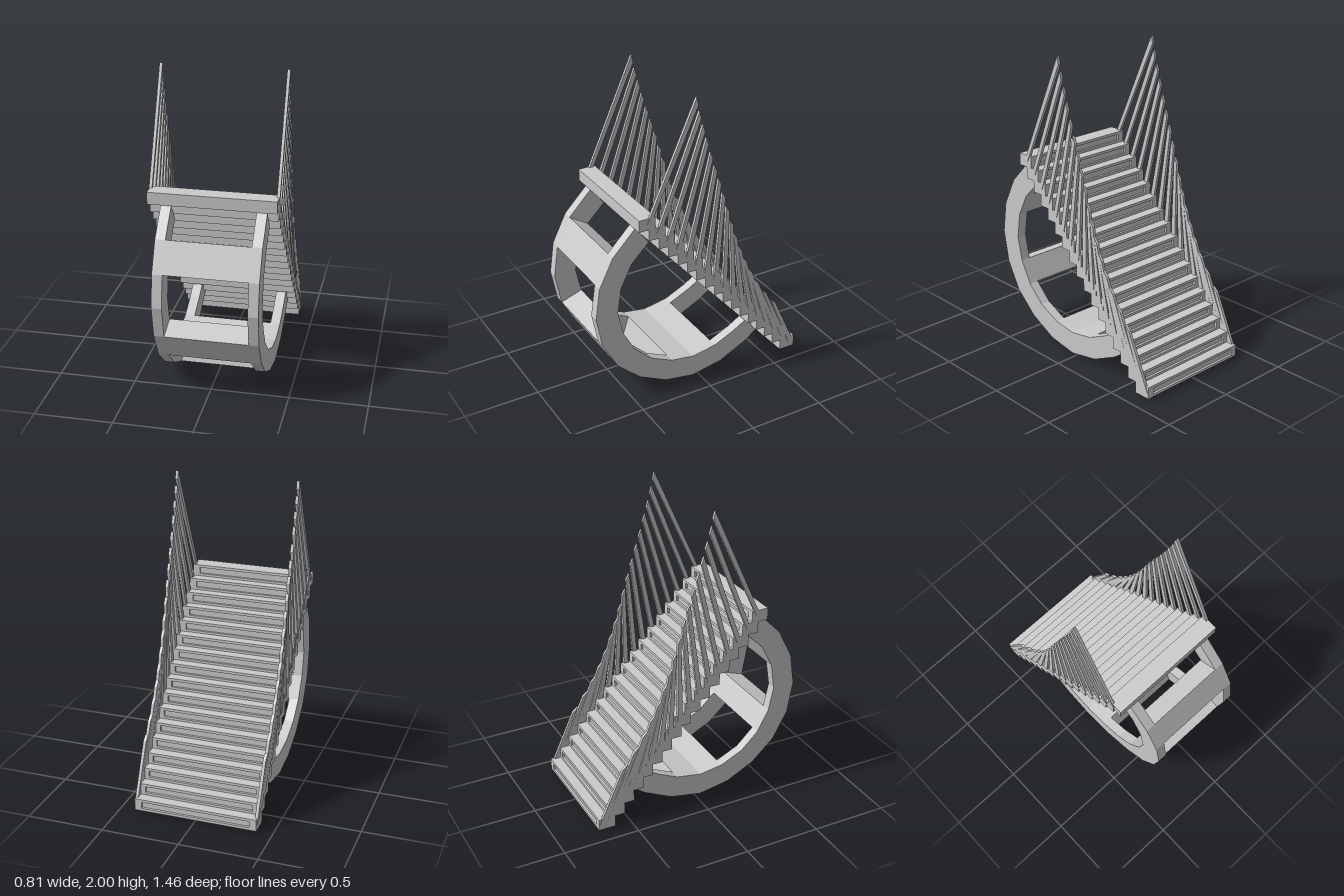
import * as THREE from 'three';

const material = new THREE.MeshStandardMaterial({ color: 0xcccccc, flatShading: true });

// Extrude a side outline of [z, y] points from x0 to x1
function sidePart(name, points, x0, x1) {
  const shape = new THREE.Shape(points.map(([z, y]) => new THREE.Vector2(z, y)));
  const geometry = new THREE.ExtrudeGeometry(shape, { depth: x1 - x0, bevelEnabled: false });
  geometry.rotateY(-Math.PI / 2).translate(x1, 0, 0);
  const mesh = new THREE.Mesh(geometry, material);
  mesh.name = name;
  return mesh;
}

// One step: solid body with a shallow framed recess on its riser
const STEP = { count: 17, width: 0.8, height: 0.078, depth: 0.112, run: 0.0669, rise: 0.0756 };

function makeStep() {
  const { width: w, height: h, depth: d } = STEP;
  const rim = 0.018, recess = 0.015;
  const step = new THREE.Group();
  step.name = 'step';
  const body = new THREE.Mesh(new THREE.BoxGeometry(w, h, d - recess), material);
  body.name = 'stepBody';
  body.position.set(0, h / 2, (d + recess) / 2);
  const rect = (C, x, y0, y1) => new C([[-x, y0], [x, y0], [x, y1], [-x, y1]].map(p => new THREE.Vector2(...p)));
  const outline = rect(THREE.Shape, w / 2, 0, h);
  outline.holes.push(rect(THREE.Path, w / 2 - 0.045, rim, h - rim));
  const frame = new THREE.Mesh(new THREE.ExtrudeGeometry(outline, { depth: recess, bevelEnabled: false }), material);
  frame.name = 'riserFrame';
  step.add(body, frame);
  return step;
}

function makeStairs() {
  const stairs = new THREE.Group();
  stairs.name = 'stairs';
  for (let i = 0; i < STEP.count; i++) {
    const step = makeStep();
    step.position.set(0, 0.01 + i * STEP.rise, -0.725 + i * STEP.run);
    stairs.add(step);
  }
  return stairs;
}

// Fanned bars: each leans a little differently, tops following a curve
function makeBars() {
  const bars = new THREE.Group();
  bars.name = 'railingBars';
  const tops = [
    [0.07, 2], [0.05, 1.91], [0.025, 1.82], [0, 1.73], [-0.03, 1.63], [-0.06, 1.535],
    [-0.09, 1.44], [-0.12, 1.34], [-0.15, 1.235], [-0.18, 1.13], [-0.21, 1.03], [-0.245, 0.93],
    [-0.285, 0.83], [-0.33, 0.735], [-0.38, 0.64], [-0.445, 0.54], [-0.52, 0.44],
  ];
  const lerp = THREE.MathUtils.lerp;
  tops.forEach(([tz, ty], i) => {
    const t = i / (tops.length - 1);
    const bz = lerp(0.39, -0.70, t), by = lerp(1.26, 0.05, t), half = lerp(0.014, 0.02, t);
    const outline = [
      [bz + half, by], [bz - half, by],
      [tz - lerp(0.012, 0.035, t), ty - lerp(0.05, 0.03, t)], [tz, ty],
    ];
    bars.add(sidePart('leftBar', outline, 0.385, 0.404), sidePart('rightBar', outline, -0.404, -0.385));
  });
  return bars;
}

// Curved support: two faceted hoops joined by cross panels
function makeSupport() {
  const support = new THREE.Group();
  support.name = 'curvedSupport';
  const outer = [
    [0.45, 1.22], [0.605, 1.06], [0.7, 0.87], [0.73, 0.66], [0.69, 0.45], [0.59, 0.27],
    [0.435, 0.13], [0.245, 0.035], [0.04, 0], [-0.175, 0.04], [-0.36, 0.13], [-0.48, 0.215],
  ];
  const inner = [
    [0.36, 1.1], [0.48, 0.98], [0.555, 0.83], [0.58, 0.66], [0.545, 0.5], [0.465, 0.355],
    [0.35, 0.245], [0.2, 0.175], [0.04, 0.15], [-0.13, 0.18], [-0.27, 0.245], [-0.38, 0.31],
  ];
  const hoop = [...outer, ...[...inner].reverse()];
  support.add(sidePart('leftHoop', hoop, 0.275, 0.34), sidePart('rightHoop', hoop, -0.315, -0.25));
  for (const [a, b] of [[1, 2], [4, 5], [7, 9]]) {
    const outline = [...outer.slice(a, b + 1), ...inner.slice(a, b + 1).reverse()];
    support.add(sidePart('crossPanel', outline, -0.25, 0.275));
  }
  return support;
}

export function createModel() {
  const model = new THREE.Group();
  model.name = 'stairSculpture';
  model.add(makeStairs(), makeBars(), makeSupport());
  return model;
}
